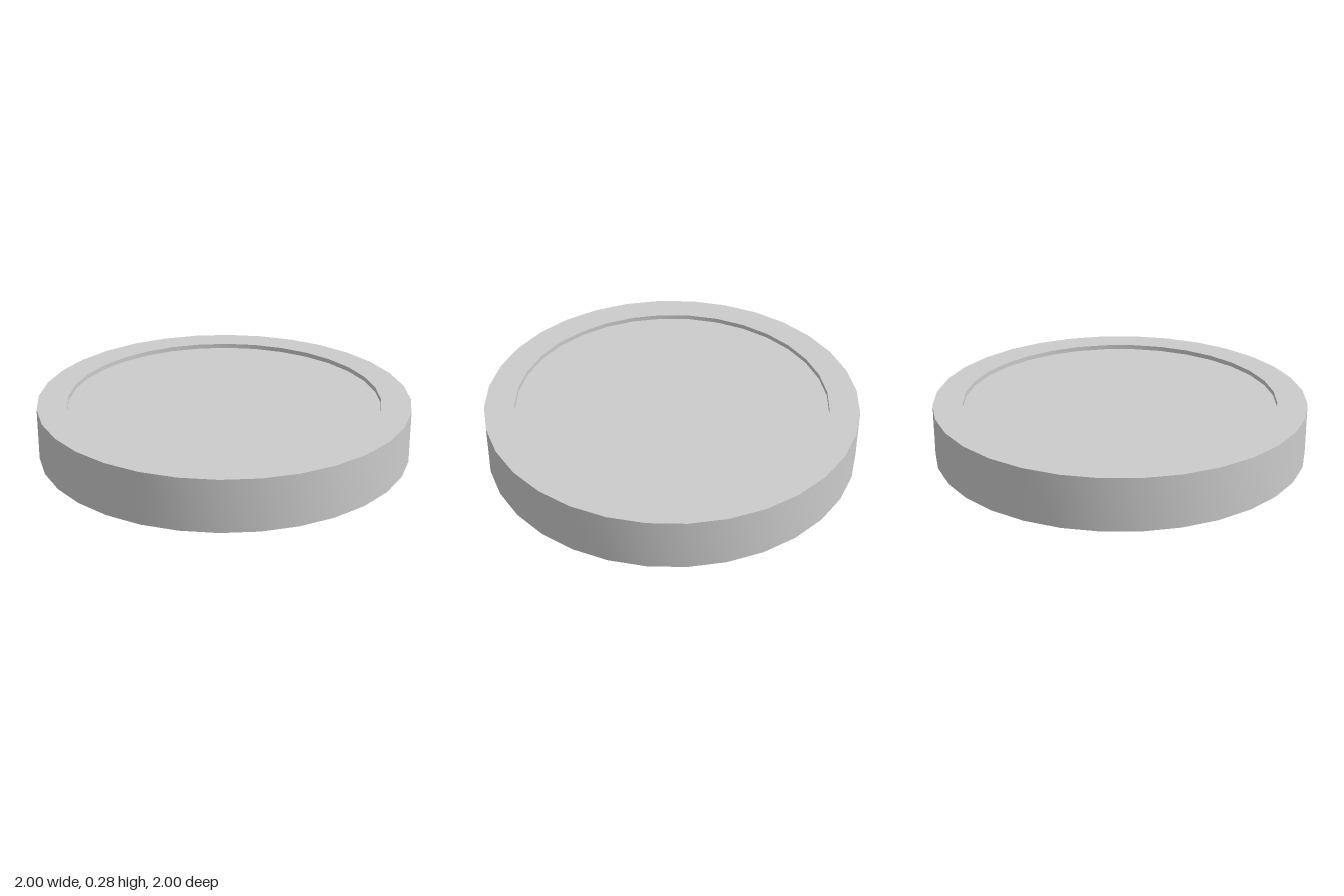
import * as THREE from 'three';
import { toCreasedNormals } from 'three/addons/utils/BufferGeometryUtils.js';

const SIDES = 32;
const RADIUS = 1;
const INNER = 0.84;
const HEIGHT = 0.28;
const RECESS = 0.025;

export function createModel() {
  const group = new THREE.Group();
  group.name = 'disc';
  const material = new THREE.MeshStandardMaterial({ color: 0xcccccc });

  const add = (name, geometry) => {
    const mesh = new THREE.Mesh(geometry, material);
    mesh.name = name;
    group.add(mesh);
    return mesh;
  };

  // Raised rim: lower recess wall, underside, outer wall, top, upper recess wall
  const profile = [
    [INNER, RECESS],
    [INNER, 0],
    [RADIUS, 0],
    [RADIUS, HEIGHT],
    [INNER, HEIGHT],
    [INNER, HEIGHT - RECESS],
  ].map(([r, y]) => new THREE.Vector2(r, y));
  add('rim', toCreasedNormals(new THREE.LatheGeometry(profile, SIDES), Math.PI / 6));

  // Sunken flat faces on both sides
  const top = add('topFace', new THREE.CircleGeometry(INNER, SIDES).rotateX(-Math.PI / 2));
  top.position.y = HEIGHT - RECESS;
  const bottom = add('bottomFace', new THREE.CircleGeometry(INNER, SIDES).rotateX(Math.PI / 2));
  bottom.position.y = RECESS;

  return group;
}
